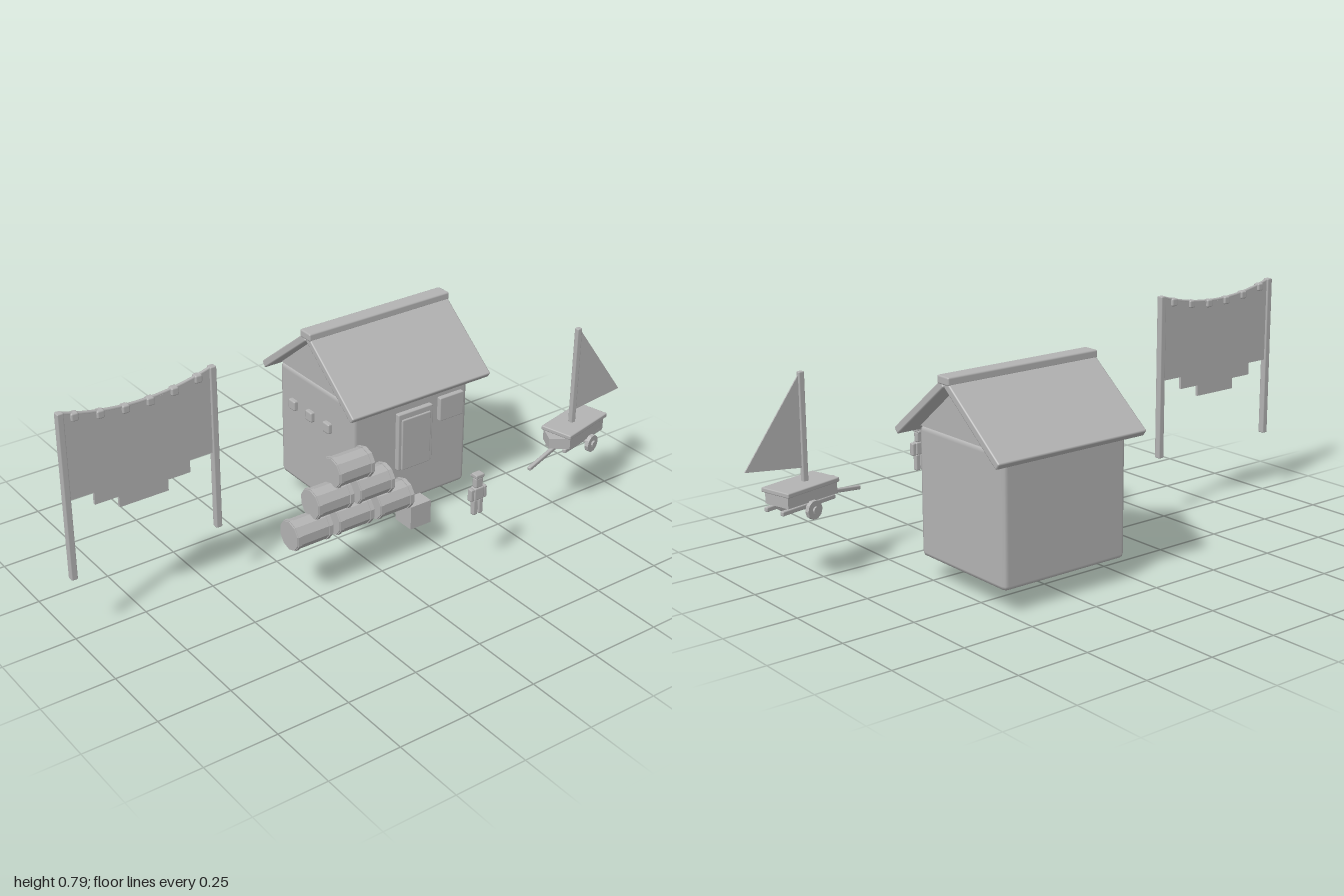
import * as THREE from 'three';
import { RoundedBoxGeometry } from 'three/addons/geometries/RoundedBoxGeometry.js';

const grey = new THREE.MeshStandardMaterial({ color: 0xb3b3b3 });
grey.name = 'grey';

function add(parent, name, geometry, x = 0, y = 0, z = 0) {
  const mesh = new THREE.Mesh(geometry, grey);
  mesh.name = name;
  mesh.position.set(x, y, z);
  parent.add(mesh);
  return mesh;
}

function group(parent, name, x = 0, y = 0, z = 0) {
  const g = new THREE.Group();
  g.name = name;
  g.position.set(x, y, z);
  parent.add(g);
  return g;
}

// Box with softened edges, placed by its centre
function block(parent, name, [w, h, d], [x, y, z], r = 0.004) {
  const radius = Math.min(r, w * 0.3, h * 0.3, d * 0.3);
  return add(parent, name, new RoundedBoxGeometry(w, h, d, 1, radius), x, y, z);
}

function prism(points, depth) {
  const shape = new THREE.Shape(points.map(([x, y]) => new THREE.Vector2(x, y)));
  return new THREE.ExtrudeGeometry(shape, { depth, bevelEnabled: false });
}

function faceted(radius, length, sides) {
  return new THREE.CylinderGeometry(radius, radius, length, sides).toNonIndexed();
}

function flat(geometry) {
  geometry.computeVertexNormals();
  return geometry;
}

function buildHouse(root) {
  const house = group(root, 'house', -0.172, 0, -0.273);
  block(house, 'walls', [0.43, 0.43, 0.48], [0, 0.29, 0], 0.016);
  add(house, 'gable', prism([[-0.212, 0.503], [0.212, 0.503], [0, 0.676]], 0.47), 0, 0, -0.235);

  // Roof slabs lean on the gable and meet under the ridge
  const angle = 0.672, length = 0.32, thick = 0.026;
  const c = Math.cos(angle), s = Math.sin(angle);
  for (const side of [-1, 1]) {
    const slab = block(house, 'roofSlab', [length, thick, 0.578],
      [side * (c * length / 2 + s * thick / 2), 0.676 - s * length / 2 + c * thick / 2, -0.009], 0.005);
    slab.rotation.z = -side * angle;
  }
  block(house, 'ridge', [0.058, 0.028, 0.584], [0, 0.697, -0.009], 0.006);

  // Door and window on the +x wall
  block(house, 'doorFrame', [0.022, 0.213, 0.145], [0.221, 0.326, -0.006]);
  block(house, 'door', [0.02, 0.192, 0.121], [0.228, 0.316, -0.006]);
  block(house, 'sideWindow', [0.022, 0.088, 0.102], [0.221, 0.398, -0.161]);
  add(house, 'step', new THREE.BoxGeometry(0.086, 0.088, 0.086), 0.232, 0.044, -0.003);

  for (const x of [-0.128, -0.028, 0.073])
    block(house, 'frontWindow', [0.038, 0.038, 0.03], [x, 0.376, 0.24], 0.006);
}

function buildBarrels(root) {
  const stack = group(root, 'barrelStack', 0.217, 0, 0.114);
  for (let row = 0; row < 3; row++) {
    for (let i = 0; i < 3 - row; i++) {
      const z = (i - (2 - row) / 2) * 0.162;
      const barrel = group(stack, 'barrel', 0, 0.247 + row * 0.0865, z);
      barrel.rotation.x = Math.PI / 2;
      add(barrel, 'barrelBody', flat(faceted(0.05, 0.138, 10)));
      for (const end of [-1, 1])
        add(barrel, 'hoop', flat(faceted(0.053, 0.012, 10)), 0, end * 0.059, 0);
    }
  }
}

function buildBanner(root) {
  const banner = group(root, 'banner', 0, 0, 0.731);
  const sag = z => 0.748 + 0.038 * (z / 0.25) ** 2;
  for (const z of [-0.259, 0.259])
    block(banner, 'pole', [0.024, 0.573, 0.022], [0, 0.5065, z]);

  // Cloth with a sagging top and a stepped lower edge
  const outline = [[-0.248, 0.496], [-0.165, 0.496], [-0.165, 0.453], [-0.085, 0.453], [-0.085, 0.415],
    [0.087, 0.415], [0.087, 0.453], [0.169, 0.453], [0.169, 0.496], [0.248, 0.496]];
  const rope = [];
  for (let i = 0; i <= 12; i++) {
    const z = 0.25 - i * 0.5 / 12;
    outline.push([z * 0.992, sag(z) - 0.002]);
    rope.push(new THREE.Vector3(0, sag(z), z));
  }
  const cloth = prism(outline, 0.01);
  cloth.rotateY(-Math.PI / 2);
  add(banner, 'cloth', cloth, 0.005, 0, 0);
  add(banner, 'rope', new THREE.TubeGeometry(new THREE.CatmullRomCurve3(rope), 16, 0.006, 6));
  for (let i = 0; i < 6; i++) {
    const z = (i - 2.5) * 0.084 + 0.003;
    block(banner, 'clip', [0.026, 0.028, 0.026], [0, sag(z) - 0.008, z], 0.006);
  }
}

function buildFigure(root) {
  const figure = group(root, 'figure', 0.42, 0, -0.25);
  for (const side of [-1, 1]) {
    block(figure, 'leg', [0.019, 0.056, 0.017], [0, 0.248, side * 0.011]);
    block(figure, 'arm', [0.02, 0.044, 0.014], [0, 0.296, side * 0.026]);
  }
  block(figure, 'torso', [0.026, 0.045, 0.04], [0, 0.298, 0], 0.005);
  block(figure, 'head', [0.021, 0.036, 0.03], [0, 0.337, 0], 0.005);
  block(figure, 'cap', [0.028, 0.015, 0.034], [0, 0.362, 0]);
  block(figure, 'capBrim', [0.014, 0.008, 0.03], [-0.014, 0.357, 0], 0.002);
}

function buildCart(root) {
  const cart = group(root, 'cart', 0.27, 0, -0.808);
  cart.rotation.y = 0.234;
  block(cart, 'deck', [0.12, 0.016, 0.225], [0, 0.315, 0]);

  // Body with a pointed nose
  const body = prism([[-0.05, -0.105], [0.05, -0.105], [0.055, 0.105], [0, 0.15], [-0.055, 0.105]], 0.038);
  body.rotateX(Math.PI / 2);
  add(cart, 'body', body, 0, 0.308, 0);

  for (const side of [-1, 1]) {
    block(cart, 'rail', [0.015, 0.016, 0.23], [side * 0.035, 0.256, -0.005]);
    const wheel = add(cart, 'wheel', flat(faceted(0.031, 0.014, 10)), side * 0.066, 0.248, -0.012);
    wheel.rotation.z = Math.PI / 2;
    const hub = add(cart, 'hub', flat(faceted(0.012, 0.024, 8)), side * 0.068, 0.248, -0.012);
    hub.rotation.z = Math.PI / 2;
  }
  block(cart, 'axle', [0.13, 0.012, 0.012], [0, 0.248, -0.012]);
  const tongue = block(cart, 'tongue', [0.014, 0.014, 0.18], [0, 0.252, 0.174]);
  tongue.rotation.x = 0.14;

  // Mast and triangular sail
  const rig = group(root, 'rig', 0.275, 0, -0.79);
  block(rig, 'mast', [0.018, 0.36, 0.02], [0, 0.496, 0]);
  const sail = prism([[-0.21, 0.389], [-0.008, 0.367], [-0.008, 0.667]], 0.005);
  sail.rotateY(-Math.PI / 2);
  add(rig, 'sail', sail, 0.0025, 0, 0);
}

export function createModel() {
  const root = new THREE.Group();
  root.name = 'harbourScene';
  buildHouse(root);
  buildBarrels(root);
  buildBanner(root);
  buildFigure(root);
  buildCart(root);
  return root;
}
